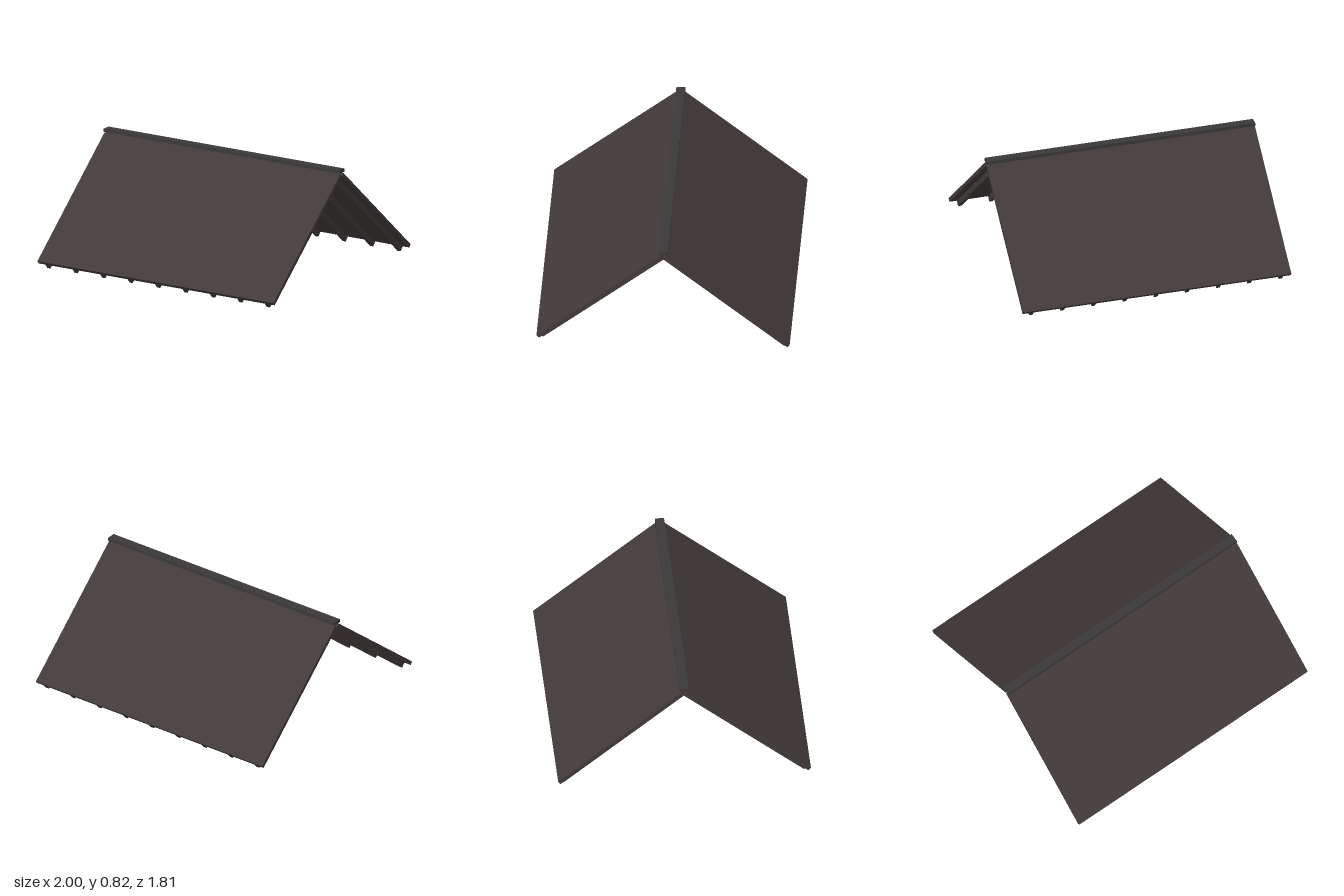
import * as THREE from 'three';

const PITCH = THREE.MathUtils.degToRad(40);
const WIDTH = 2, LENGTH = 1.155;
const DECK = 0.027, RAFTER_DEPTH = 0.04, RAFTER_WIDTH = 0.027, RAFTERS = 9;

export function createModel() {
  const roofMat = new THREE.MeshStandardMaterial({ color: 0x423a39 });
  roofMat.name = 'dark brown roofing';
  const ridgeMat = new THREE.MeshStandardMaterial({ color: 0x3a3839 });
  ridgeMat.name = 'charcoal ridge';

  const box = (name, mat, w, h, d, x, y, z) => {
    const mesh = new THREE.Mesh(new THREE.BoxGeometry(w, h, d), mat);
    mesh.name = name;
    mesh.position.set(x, y, z);
    return mesh;
  };

  // One slope, hinged at its upper outer edge and running down towards +z
  const makeSlope = (name) => {
    const side = new THREE.Group();
    side.name = name;
    const slope = new THREE.Group();
    slope.name = name + 'Panel';
    slope.position.set(0, 0.794, 0.02);
    slope.rotation.x = PITCH;
    slope.add(box('roofDeck', roofMat, WIDTH, DECK, LENGTH, 0, -DECK / 2, LENGTH / 2));
    // Evenly spaced rafters under the deck
    for (let i = 0; i < RAFTERS; i++) {
      const x = -0.93 + (1.86 * i) / (RAFTERS - 1);
      slope.add(box('rafter', roofMat, RAFTER_WIDTH, RAFTER_DEPTH, LENGTH,
        x, -DECK - RAFTER_DEPTH / 2, LENGTH / 2));
    }
    side.add(slope);
    return side;
  };

  const model = new THREE.Group();
  model.name = 'gableRoof';
  const front = makeSlope('frontSlope');
  const back = makeSlope('backSlope');
  back.rotation.y = Math.PI;

  // Flat cap along the ridge
  const cap = box('ridgeCap', ridgeMat, WIDTH, 0.024, 0.066, 0, 0.812, 0);
  model.add(front, back, cap);
  return model;
}
